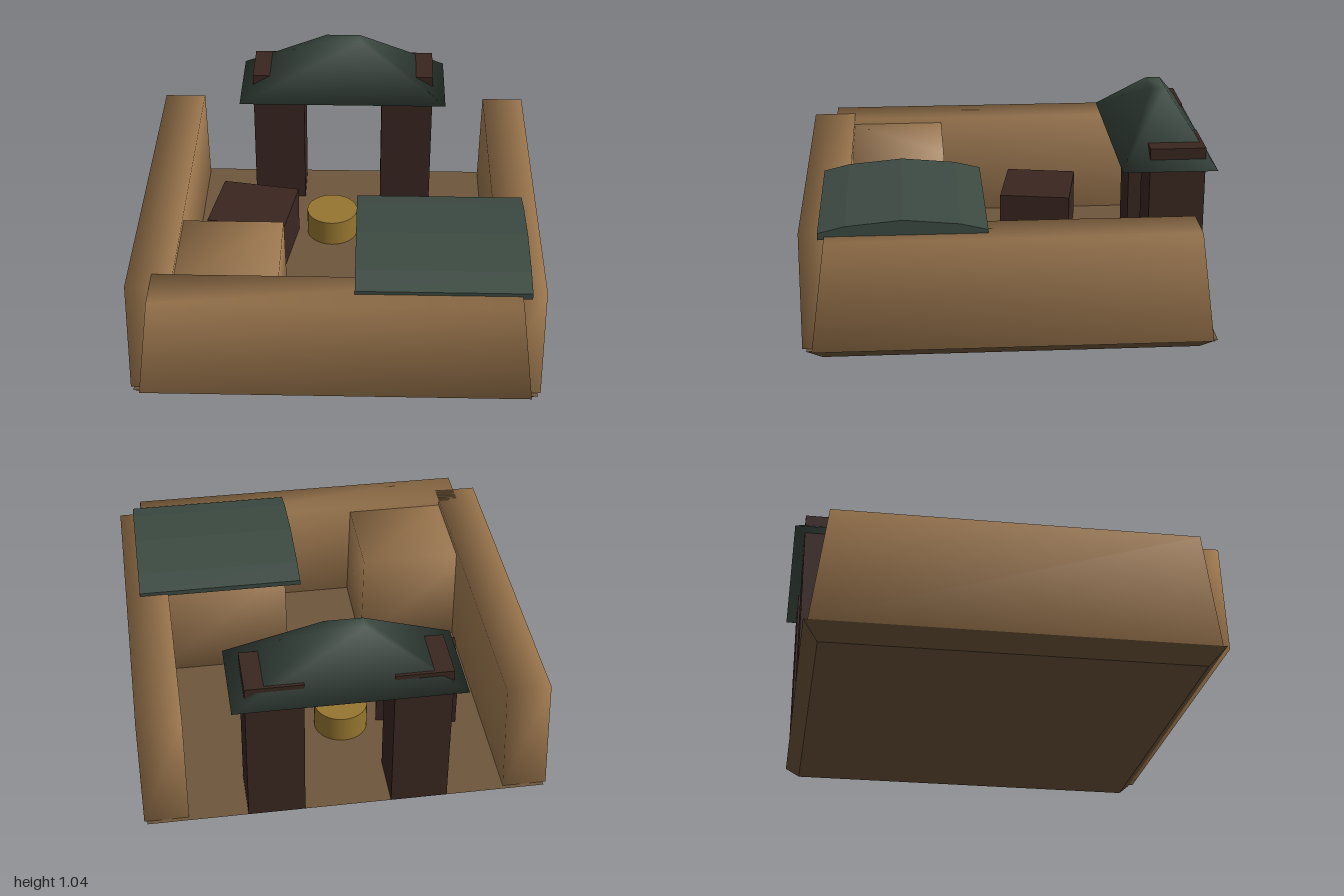
import * as THREE from 'three';
import { mergeVertices } from 'three/addons/utils/BufferGeometryUtils.js';

const material = (color) => new THREE.MeshStandardMaterial({ color });
const clay = material(0xa07a50);
const earth = material(0x6e563b);
const timber = material(0x3a2620);
const tile = material(0x3c4a42);
const gold = material(0x967630);

// Box between two corners whose top is drawn in by insetX / insetZ on each side.
function taperedBox([x0, x1], [y0, y1], [z0, z1], insetX = 0, insetZ = 0, smooth = true) {
  let geo = new THREE.BoxGeometry(1, 1, 1);
  const p = geo.attributes.position;
  for (let i = 0; i < p.count; i++) {
    const top = p.getY(i) > 0 ? 1 : 0;
    const sx = Math.sign(p.getX(i)), sz = Math.sign(p.getZ(i));
    p.setXYZ(i,
      (sx > 0 ? x1 : x0) - sx * insetX * top,
      top ? y1 : y0,
      (sz > 0 ? z1 : z0) - sz * insetZ * top);
  }
  if (smooth) {
    // share the corners so the shading rolls softly over the edges
    geo.deleteAttribute('normal');
    geo.deleteAttribute('uv');
    geo = mergeVertices(geo);
  }
  geo.computeVertexNormals();
  return geo;
}

export function createModel() {
  const model = new THREE.Group();
  model.name = 'walledCourtyard';
  const add = (name, geo, mat) => {
    const mesh = new THREE.Mesh(geo, mat);
    mesh.name = name;
    model.add(mesh);
    return mesh;
  };

  // Ground slab, flaring out towards its top
  add('ground', taperedBox([-0.89, 0.89], [0, 0.07], [-0.88, 0.905], -0.08, -0.07, false), earth);

  // Courtyard walls on three sides
  add('frontWall', taperedBox([-0.94, 0.94], [0.07, 0.62], [0.775, 0.995], 0.07, 0), clay);
  add('rightWall', taperedBox([-0.985, -0.77], [0.07, 0.62], [-0.93, 0.95], 0, 0.075), clay);
  add('leftWall', taperedBox([0.77, 0.985], [0.07, 0.62], [-0.93, 0.95], 0, 0.075), clay);

  // Corner buildings
  add('flatRoofHut', taperedBox([-0.86, -0.26], [0.07, 0.59], [0.285, 0.88], 0.012, 0.012), clay);
  add('roofedHut', taperedBox([0.15, 0.86], [0.07, 0.63], [0.19, 0.86], 0.012, 0.012), clay);

  // Gently bowed roof over the second hut: profile in z and y, extruded along x
  const profile = [[0.125, 0.612], [0.125, 0.637], [0.25, 0.668], [0.515, 0.693],
    [0.78, 0.668], [0.905, 0.637], [0.905, 0.605]];
  const bow = new THREE.Shape(profile.map(([z, y]) => new THREE.Vector2(-z, y)));
  const bowGeo = new THREE.ExtrudeGeometry(bow, { depth: 0.825, bevelEnabled: false });
  bowGeo.rotateY(Math.PI / 2).translate(0.09, 0, 0);
  add('bowedRoof', bowGeo, tile);

  // Gate posts and hipped gate roof
  for (const [name, x] of [['rightGatePost', -0.3475], ['leftGatePost', 0.3475]]) {
    const post = add(name, new THREE.BoxGeometry(0.275, 0.785, 0.27), timber);
    post.position.set(x, 0.4625, -0.815);
  }
  add('gateRoof', taperedBox([-0.55, 0.55], [0.76, 1.04], [-1, -0.54], 0.46, 0.193), tile);

  // Turned crate and round gold stand in the yard
  const crate = add('crate', new THREE.BoxGeometry(0.41, 0.265, 0.37), timber);
  crate.position.set(-0.465, 0.2, -0.22);
  crate.rotation.y = -0.17;
  const stand = add('roundStand', new THREE.CylinderGeometry(0.135, 0.135, 0.14, 32), gold);
  stand.position.set(-0.05, 0.14, -0.36);

  return model;
}
